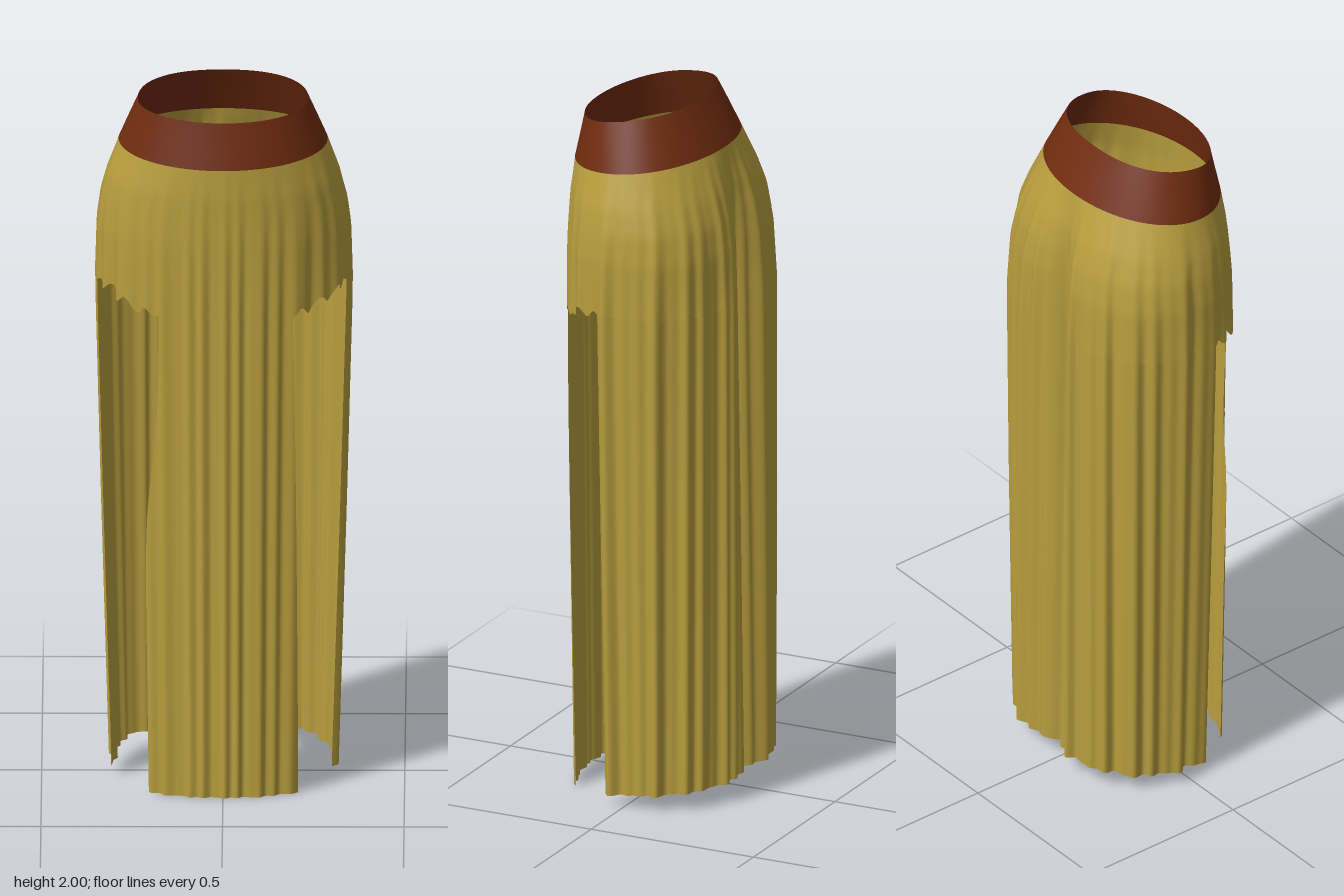
import * as THREE from 'three';

// Garment sections: height, half width, centre z, front z, back z,
// back cleft depth, back squareness, pleat depth, tilt
const LEVELS = [
  [1.985, 0.235, 0.08, 0.230, -0.095, 0.000, 2.3, 0.000, -0.154],
  [1.848, 0.288, 0.035, 0.258, -0.163, 0.000, 2.05, 0.000, -0.106],
  [1.75, 0.322, 0.03, 0.262, -0.205, 0.020, 2.2, 0.002, -0.05],
  [1.68, 0.338, 0.02, 0.262, -0.226, 0.036, 2.3, 0.004, -0.02],
  [1.6, 0.346, 0.02, 0.262, -0.237, 0.045, 2.4, 0.006, 0],
  [1.43, 0.346, 0.02, 0.259, -0.242, 0.050, 2.5, 0.010, 0],
  [0.8, 0.328, 0.02, 0.252, -0.246, 0.040, 2.5, 0.011, 0],
  [0, 0.303, 0.02, 0.245, -0.250, 0.030, 2.5, 0.012, 0],
];
const deg = THREE.MathUtils.degToRad;
const lerp = THREE.MathUtils.lerp;
const smooth = THREE.MathUtils.smoothstep;

function levelAt(h) {
  let i = 0;
  while (i < LEVELS.length - 2 && h < LEVELS[i + 1][0]) i++;
  const a = LEVELS[i], b = LEVELS[i + 1];
  const k = THREE.MathUtils.clamp((a[0] - h) / (a[0] - b[0]), 0, 1);
  return a.map((v, j) => lerp(v, b[j], k));
}

// Irregular gathers around the body
function pleat(t) {
  return 0.5 * Math.sin(17 * t + 0.6) + 0.5 * Math.sin(29 * t + 2 + Math.sin(2 * t))
    + 0.35 * Math.sin(43 * t + Math.sin(3 * t));
}

// Point of the cloth at angle t (0 = front, positive towards +x) and height h
function surface(t, h) {
  const [, w, z0, zf, zb, cleft, nBack, amp, tilt] = levelAt(h);
  const s = Math.sin(t), c = Math.cos(t);
  const n = c > 0 ? lerp(2, 2.15, amp / 0.012) : nBack;
  const depth = c > 0 ? zf - z0 : z0 - zb;
  let r = Math.pow(Math.pow(Math.abs(s) / w, n) + Math.pow(Math.abs(c) / depth, n), -1 / n);
  if (c < 0) r -= cleft * Math.exp(-Math.pow(r * s / 0.055, 2));
  r += pleat(t) * amp * lerp(1, 0.55, smooth(c, 0.2, 0.9));
  const z = z0 + r * c;
  return [r * s, h + tilt * z, z];
}

// Grid of cloth; at(u, v) gives [angle, height] for u, v in 0..1
function cloth(name, material, cols, rows, closed, at) {
  const pos = [], index = [];
  const stride = closed ? cols : cols + 1;
  for (let j = 0; j <= rows; j++)
    for (let i = 0; i < stride; i++) pos.push(...surface(...at(i / cols, j / rows)));
  for (let j = 0; j < rows; j++)
    for (let i = 0; i < cols; i++) {
      const a = j * stride + i, b = j * stride + (i + 1) % stride;
      index.push(a, a + stride, b, b, a + stride, b + stride);
    }
  const g = new THREE.BufferGeometry();
  g.setAttribute('position', new THREE.Float32BufferAttribute(pos, 3));
  g.setIndex(index);
  g.computeVertexNormals();
  const mesh = new THREE.Mesh(g, material);
  mesh.name = name;
  return mesh;
}

// Hem of the hip part, ragged above the side slits
function hipHem(t) {
  const a = Math.abs(t);
  const inSlit = smooth(a, deg(41), deg(48)) * (1 - smooth(a, deg(78), deg(83)));
  return 1.39 + 0.055 * smooth(a, deg(40), deg(80)) + 0.014 * inSlit * Math.sin(a * 32);
}

export function createModel() {
  const model = new THREE.Group();
  model.name = 'skirt';
  const brown = new THREE.MeshStandardMaterial({ color: 0x702c0f, side: THREE.DoubleSide });
  brown.name = 'brown waistband';
  const gold = new THREE.MeshStandardMaterial({ color: 0xb89e3e, side: THREE.DoubleSide });
  gold.name = 'gold cloth';

  // Tilted waistband
  model.add(cloth('waistband', brown, 96, 4, true,
    (u, v) => [(u * 2 - 1) * Math.PI, lerp(1.985, 1.848, v)]));

  // Closed hip part from the waistband down to the top of the slits
  model.add(cloth('hips', gold, 360, 20, true, (u, v) => {
    const t = (u * 2 - 1) * Math.PI;
    return [t, lerp(1.848, hipHem(t), v)];
  }));

  // Narrow hanging panel at the front
  model.add(cloth('frontPanel', gold, 110, 16, false, (u, v) => {
    const edge = u < 0.5 ? lerp(39.5, 50, smooth(v, 0, 0.6)) : lerp(43, 50, v);
    const t = (u * 2 - 1) * deg(edge);
    return [t, lerp(hipHem(t), 0, v)];
  }));

  // Wide panel wrapping the back and sides, hem rising towards the back
  model.add(cloth('backPanel', gold, 220, 16, false, (u, v) => {
    const t = lerp(deg(83), deg(277), u);
    const hem = 0.035 - 0.09 * surface(t, 0)[2];
    return [t, lerp(hipHem(t > Math.PI ? t - 2 * Math.PI : t), hem, v)];
  }));

  return model;
}
